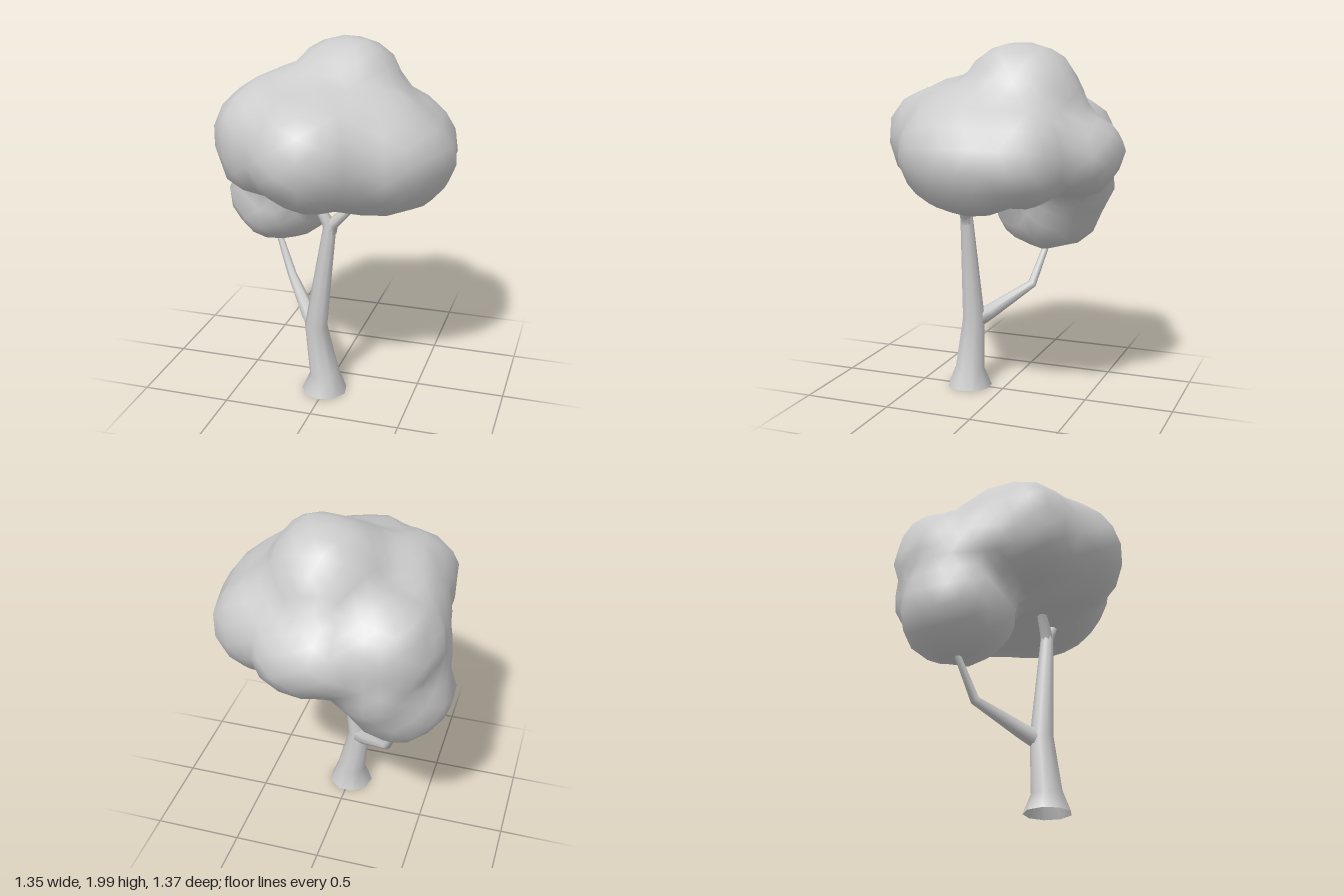
import * as THREE from 'three';
import { mergeVertices } from 'three/addons/utils/BufferGeometryUtils.js';

const material = new THREE.MeshStandardMaterial({ color: 0xcccccc, side: THREE.DoubleSide });

// Tapered limb through a list of [x, y, z, radius] stations
function limb(name, stations, sides = 9) {
  const pts = stations.map(s => new THREE.Vector3(s[0], s[1], s[2]));
  const pos = [], index = [];
  pts.forEach((p, i) => {
    const dir = pts[Math.min(i + 1, pts.length - 1)].clone().sub(pts[Math.max(i - 1, 0)]).normalize();
    if (i === 0 && p.y === 0) dir.set(0, 1, 0); // flat foot on the ground
    const turn = new THREE.Quaternion().setFromUnitVectors(new THREE.Vector3(0, 1, 0), dir);
    for (let j = 0; j < sides; j++) {
      const a = j / sides * Math.PI * 2;
      const v = new THREE.Vector3(Math.sin(a), 0, Math.cos(a)).multiplyScalar(stations[i][3]);
      pos.push(...v.applyQuaternion(turn).add(p).toArray());
      if (i === 0) continue;
      const k = (j + 1) % sides, lo = (i - 1) * sides, hi = i * sides;
      index.push(lo + j, lo + k, hi + k, lo + j, hi + k, hi + j);
    }
  });
  const geo = new THREE.BufferGeometry();
  geo.setAttribute('position', new THREE.Float32BufferAttribute(pos, 3));
  geo.setIndex(index);
  geo.computeVertexNormals();
  const mesh = new THREE.Mesh(geo, material);
  mesh.name = name;
  return mesh;
}

// Leaf clumps: centre and radii of each ellipsoid
const clumps = [
  [0.12, 1.45, 0.08, 0.50, 0.36, 0.44],   // main
  [-0.04, 1.46, 0.31, 0.36, 0.33, 0.40],  // front
  [-0.34, 1.49, 0.27, 0.25, 0.31, 0.26],  // front left
  [-0.22, 1.58, 0.08, 0.30, 0.28, 0.30],  // upper left
  [0.29, 1.39, 0.18, 0.31, 0.29, 0.28],   // front right
  [0.03, 1.60, -0.12, 0.36, 0.42, 0.38],  // crown
  [0.39, 1.37, 0.02, 0.30, 0.28, 0.31],   // right
  [0.35, 1.41, -0.24, 0.29, 0.28, 0.27],  // back right
  [0.02, 1.40, -0.43, 0.33, 0.24, 0.27],  // back
  [-0.31, 1.42, -0.28, 0.29, 0.30, 0.29], // back left
  [-0.40, 1.30, -0.14, 0.25, 0.34, 0.27], // left
  [-0.37, 1.45, 0.04, 0.23, 0.28, 0.25],  // upper left side
  [-0.27, 1.22, -0.32, 0.27, 0.24, 0.25], // low back
  [-0.37, 1.05, -0.15, 0.32, 0.28, 0.33], // low left
];

// Softly blended field, negative inside the foliage
function field(p) {
  const k = 11;
  let sum = 0;
  for (const [x, y, z, a, b, c] of clumps) {
    sum += Math.exp(-k * (Math.hypot((p.x - x) / a, (p.y - y) / b, (p.z - z) / c) - 1));
  }
  return -Math.log(sum) / k + 0.035;
}

// One foliage skin, pushed out from a core point to the blended clumps
function foliage() {
  let geo = new THREE.IcosahedronGeometry(1, 6);
  geo.deleteAttribute('uv');
  geo.deleteAttribute('normal');
  geo = mergeVertices(geo, 1e-4);
  const core = new THREE.Vector3(-0.12, 1.36, -0.07);
  const pos = geo.attributes.position, d = new THREE.Vector3(), p = new THREE.Vector3();
  for (let i = 0; i < pos.count; i++) {
    d.fromBufferAttribute(pos, i).normalize();
    let r = 1.2;
    while (r > 0.1 && field(p.copy(core).addScaledVector(d, r)) > 0) r -= 0.004;
    // gentle irregular lumps
    r += 0.008 * Math.sin(9 * d.x + 4 * d.y) * Math.sin(8 * d.y - 5 * d.z + 1) + 0.009 * Math.sin(i * 12.9898);
    p.copy(core).addScaledVector(d, r);
    pos.setXYZ(i, p.x, p.y, p.z);
  }
  geo.computeVertexNormals();
  const mesh = new THREE.Mesh(geo, material);
  mesh.name = 'foliage';
  return mesh;
}

export function createModel() {
  const tree = new THREE.Group();
  tree.name = 'tree';
  tree.add(
    limb('trunk', [[-0.005, 0, 0.21, 0.13], [-0.005, 0.11, 0.21, 0.086], [-0.055, 0.4, 0.205, 0.065], [0.03, 1.02, 0.21, 0.036]]),
    limb('leftFork', [[0.03, 0.98, 0.21, 0.036], [0.045, 1.03, 0.21, 0.034], [0.18, 1.17, 0.2, 0.024]], 7),
    limb('rightFork', [[0.03, 0.98, 0.21, 0.036], [0.015, 1.04, 0.21, 0.034], [-0.07, 1.18, 0.21, 0.024]], 7),
    limb('sideBranch', [[-0.05, 0.38, 0.2, 0.055], [-0.12, 0.42, 0.13, 0.045], [-0.295, 0.57, -0.075, 0.027], [-0.42, 0.86, -0.15, 0.016]], 7),
    foliage(),
  );
  return tree;
}
